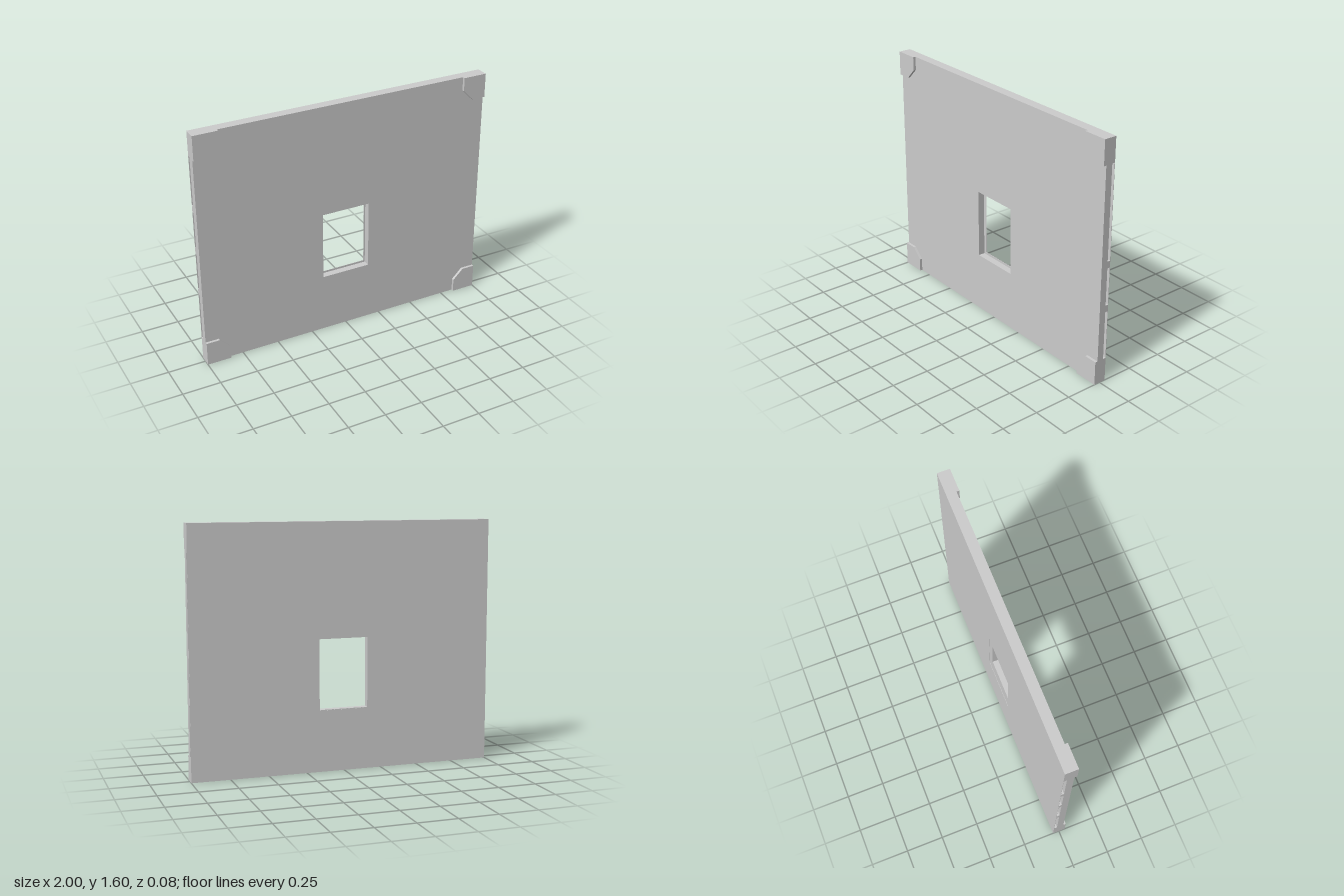
import * as THREE from 'three';

const W = 1, H = 1.6;             // half width, height
const FRONT = 0.024, BACK = -0.021, DEPTH = 0.042;

export function createModel() {
  const model = new THREE.Group();
  model.name = 'windowPanel';
  const material = new THREE.MeshStandardMaterial({ color: 0xcccccc, flatShading: true });

  function add(name, geometry, x = 0, y = 0, z = 0) {
    const mesh = new THREE.Mesh(geometry, material);
    mesh.name = name;
    mesh.position.set(x, y, z);
    model.add(mesh);
    return mesh;
  }
  const polygon = points => points.map(([x, y]) => new THREE.Vector2(x, y));

  // Extrudes a shape between two z planes
  function slab(name, shape, z0, z1) {
    add(name, new THREE.ExtrudeGeometry(shape, { depth: z1 - z0, bevelEnabled: false }), 0, 0, z0);
  }

  // Rectangular panel with the window opening
  const panel = new THREE.Shape(polygon([[-W, 0], [W, 0], [W, H], [-W, H]]));
  panel.holes.push(new THREE.Path(polygon([[-0.165, 0.4], [-0.165, 0.86], [0.165, 0.86], [0.165, 0.4]])));
  slab('mainPanel', panel, BACK, FRONT);
  slab('backSheet', panel, -DEPTH, -DEPTH + 0.002);

  // Chamfered corner plates on the front, and matching spacers behind
  for (const sx of [-1, 1]) {
    for (const top of [false, true]) {
      const corner = [[1, 0], [1, 0.16], [0.91, 0.16], [0.84, 0.09], [0.84, 0]]
        .map(([x, y]) => [sx * x, top ? H - y : y]);
      const shape = new THREE.Shape(polygon(corner));
      slab('cornerPlate', shape, FRONT, DEPTH);
      slab('cornerSpacer', shape, -DEPTH + 0.002, BACK);
    }
  }

  // Strips closing the top and bottom of the gap
  const gap = BACK + DEPTH - 0.002;
  const gapZ = BACK - gap / 2;
  for (const y of [0.012, H - 0.012]) {
    add('edgeStrip', new THREE.BoxGeometry(1.68, 0.024, gap), 0, y, gapZ);
  }

  // Small spacer tabs along the sides
  for (const x of [-0.98, 0.98]) {
    for (const y of [0.508, 0.802]) {
      add('spacerTab', new THREE.BoxGeometry(0.04, 0.045, gap), x, y, gapZ);
    }
  }
  add('spacerTab', new THREE.BoxGeometry(0.04, 0.045, gap), -0.98, 1.092, gapZ);

  return model;
}
